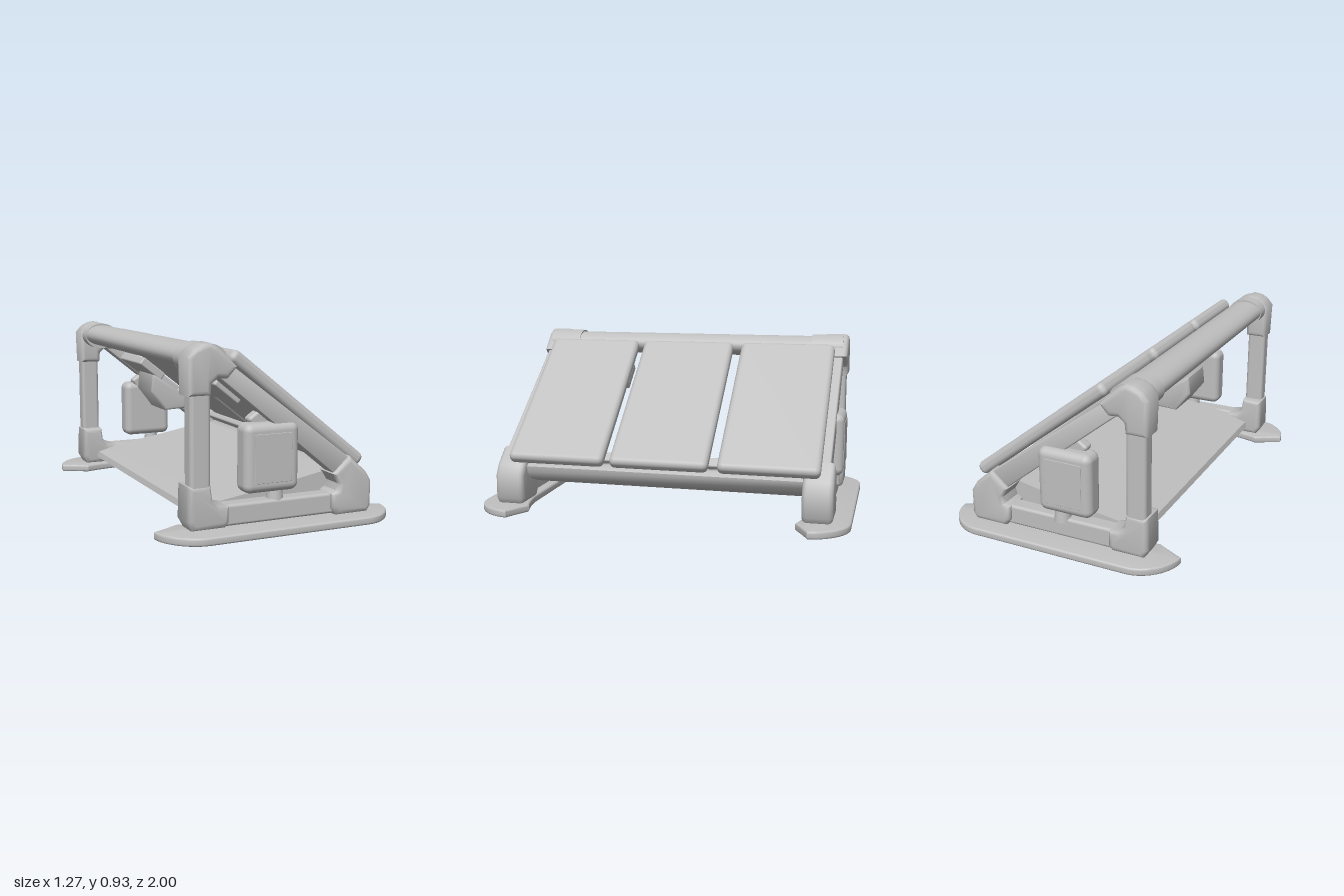
import * as THREE from 'three';
import { toCreasedNormals } from 'three/addons/utils/BufferGeometryUtils.js';
import { RoundedBoxGeometry } from 'three/addons/geometries/RoundedBoxGeometry.js';

const grey = new THREE.MeshStandardMaterial({ color: 0xbfbfbf });
grey.name = 'plain grey';
const TILT = -Math.atan2(0.57, 0.72);

export function createModel() {
  const group = new THREE.Group();
  group.name = 'tiltedPanelRack';

  const add = (name, geo, x = 0, y = 0, z = 0, rotZ = 0, parent = group) => {
    const mesh = new THREE.Mesh(geo, grey);
    mesh.name = name;
    mesh.position.set(x, y, z);
    mesh.rotation.z = rotZ;
    parent.add(mesh);
    return mesh;
  };
  const block = (w, h, d, r) => new RoundedBoxGeometry(w, h, d, 3, r);

  // Side profile (x, y) extruded along z, centred on z = 0, with rounded edges
  const profile = (pts, depth, bevel) => {
    const shape = new THREE.Shape(pts.map(p => new THREE.Vector2(...p)));
    const geo = new THREE.ExtrudeGeometry(shape, {
      depth: depth - 2 * bevel, bevelEnabled: bevel > 0, bevelSize: bevel,
      bevelThickness: bevel, bevelOffset: -bevel, bevelSegments: 3,
    });
    geo.translate(0, 0, -depth / 2 + bevel);
    return toCreasedNormals(geo, 0.8);
  };

  // Flattened round bar along z
  const bar = (rx, ry, length) =>
    new THREE.CylinderGeometry(1, 1, length, 28).rotateX(Math.PI / 2).scale(rx, ry, 1);

  // Crescent foot with pointed, swept-in ends
  const footShape = new THREE.Shape();
  footShape.moveTo(-0.43, 0.99);
  footShape.lineTo(0.43, 0.99);
  footShape.bezierCurveTo(0.53, 0.99, 0.62, 0.89, 0.625, 0.8);
  footShape.quadraticCurveTo(0.56, 0.77, 0.49, 0.73);
  footShape.quadraticCurveTo(0.4, 0.76, 0.3, 0.77);
  footShape.lineTo(-0.3, 0.77);
  footShape.quadraticCurveTo(-0.4, 0.76, -0.49, 0.73);
  footShape.quadraticCurveTo(-0.56, 0.77, -0.625, 0.8);
  footShape.bezierCurveTo(-0.62, 0.89, -0.53, 0.99, -0.43, 0.99);
  const foot = new THREE.ExtrudeGeometry(footShape, {
    depth: 0.02, bevelSize: 0.008, bevelThickness: 0.01, bevelSegments: 3, curveSegments: 12,
  });
  foot.rotateX(Math.PI / 2).translate(0, 0.03, 0);
  const footGeo = toCreasedNormals(foot, 0.8);

  const topElbow = profile([[-0.5, 0.68], [-0.505, 0.86], [-0.47, 0.9], [-0.43, 0.92], [-0.39, 0.925],
    [-0.35, 0.905], [-0.25, 0.81], [-0.3, 0.755], [-0.35, 0.76], [-0.38, 0.735], [-0.385, 0.68]], 0.14, 0.025);
  const rearElbow = profile([[-0.5, 0.26], [-0.505, 0.09], [-0.48, 0.045], [-0.31, 0.045], [-0.29, 0.07],
    [-0.29, 0.15], [-0.34, 0.16], [-0.375, 0.19], [-0.385, 0.26]], 0.15, 0.025);
  const frontElbow = profile([[0.27, 0.08], [0.3, 0.04], [0.48, 0.04], [0.5, 0.07], [0.5, 0.2], [0.47, 0.25],
    [0.375, 0.335], [0.28, 0.25], [0.31, 0.2], [0.3, 0.165], [0.27, 0.15]], 0.16, 0.025);
  const slopingBeam = profile([[-0.27, 0.815], [0.4, 0.31], [0.31, 0.235], [-0.34, 0.76]], 0.09, 0.01);
  const sleeve = bar(0.1, 0.075, 0.18);

  // Mirrored end frames
  for (const s of [1, -1]) {
    const end = s > 0 ? 'front' : 'back';
    add(end + 'Foot', footGeo).rotation.y = s > 0 ? 0 : Math.PI;
    add(end + 'Post', block(0.105, 0.7, 0.085, 0.02), -0.437, 0.47, s * 0.855);
    add(end + 'BottomBeam', block(0.66, 0.105, 0.09, 0.015), 0, 0.1, s * 0.84);
    add(end + 'SlopingBeam', slopingBeam, 0, 0, s * 0.84);
    add(end + 'TopElbow', topElbow, 0, 0, s * 0.84);
    add(end + 'RearElbow', rearElbow, 0, 0, s * 0.83);
    add(end + 'FrontElbow', frontElbow, 0, 0, s * 0.83);
    add(end + 'RailSleeve', sleeve, -0.395, 0.845, s * 0.79);

    // Control box with a framed face, stand and top bracket
    const box = new THREE.Group();
    box.name = end + 'ControlBox';
    box.position.set(-0.06, 0.362, s > 0 ? 0.84 : -0.862);
    group.add(box);
    add('boxBody', block(0.295, 0.34, 0.125, 0.04), 0, 0, 0, 0, box);
    add('boxFace', block(0.2, 0.24, 0.006, 0.002), 0, 0, s * 0.0625, 0, box);
    add('boxStand', new THREE.CylinderGeometry(0.035, 0.045, 0.08, 16), 0.04, -0.19, 0, 0, box);
    add('boxBracket', block(0.09, 0.1, 0.06, 0.015), -0.04, 0.17, -s * 0.03, 0.6, box);

    // Mounting strip behind each outer panel
    add(end + 'MountingStrip', block(0.17, 0.05, 0.36, 0.01), -0.2, 0.67, s * 0.52, TILT);
  }

  // Flattened rail along the ridge
  add('topRail', bar(0.097, 0.06, 1.5), -0.395, 0.85, 0);

  // Three tilted panels
  [0.567, 0.002, -0.577].forEach((z, i) =>
    add('panel' + (i + 1), block(0.935, 0.07, 0.53, 0.03), 0.122, 0.572, z, TILT));

  // Cross member behind the low edge of the panels
  add('lowerCrossMember', block(0.06, 0.035, 1.62, 0.01), 0.37, 0.295, 0, TILT);

  // Small housing under the middle panel
  add('junctionHousing', profile([[-0.38, 0.6], [-0.37, 0.69], [-0.35, 0.685], [-0.18, 0.57],
    [-0.18, 0.5], [-0.3, 0.495]], 0.22, 0.012));
  add('junctionArm', block(0.16, 0.06, 0.08, 0.015), -0.13, 0.58, 0, 0.6);

  // Floor tray with an underside that sweeps up to the front lip
  add('floorTray', profile([[-0.42, 0.085], [-0.41, 0.115], [-0.3, 0.145], [0, 0.19], [0.33, 0.25], [0.4, 0.262],
    [0.435, 0.24], [0.43, 0.205], [0.38, 0.16], [0.28, 0.125], [0.15, 0.105], [0, 0.092]], 1.56, 0));

  return group;
}
